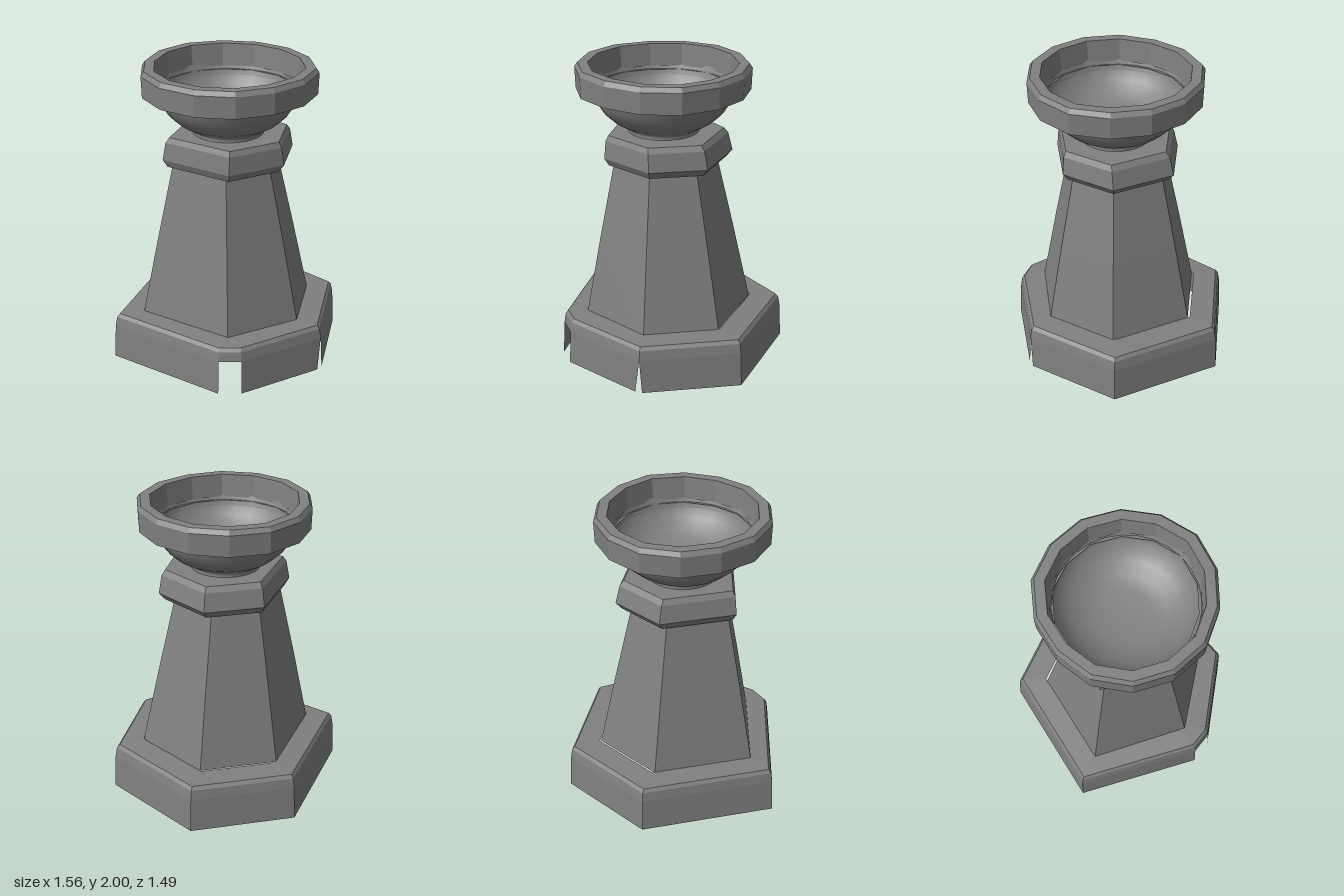
import * as THREE from 'three';

// Irregular hexagonal plan with a blunted front corner, as [x, z] going from +x to +z
const PLAN = [[0.78, -0.17], [0.6, 0.48], [0.04, 0.75], [-0.11, 0.74], [-0.78, 0.21], [-0.42, -0.62], [0.27, -0.74]];
// The same plan with a sharp front corner, used by the shaft and collar
const HEX = [[0.78, -0.17], [0.6, 0.48], [-0.05, 0.76], [-0.78, 0.21], [-0.42, -0.62], [0.27, -0.74]];

const ring = (plan, scale, y, dx = 0, dz = 0) =>
  plan.map(([x, z]) => new THREE.Vector3(x * scale + dx, y, z * scale + dz));

// Flat-shaded geometry from quads [bottomA, bottomB, topB, topA], facing outward
function quads(list) {
  const pts = list.flatMap(([a, b, c, d]) => [a, d, c, a, c, b]);
  const geo = new THREE.BufferGeometry().setFromPoints(pts);
  geo.computeVertexNormals();
  return geo;
}

// Faces joining a stack of equal-length rings
function loft(rings) {
  const list = [];
  for (let k = 0; k + 1 < rings.length; k++) {
    const lo = rings[k], hi = rings[k + 1], n = lo.length;
    for (let i = 0; i < n; i++) {
      const j = (i + 1) % n;
      list.push([lo[i], lo[j], hi[j], hi[i]]);
    }
  }
  return quads(list);
}

const lathe = (profile, sides) =>
  new THREE.LatheGeometry(profile.map(([r, y]) => new THREE.Vector2(r, y)), sides);

export function createModel() {
  const stone = new THREE.MeshStandardMaterial({ color: 0x808080, side: THREE.DoubleSide });
  stone.name = 'greyStone';
  const model = new THREE.Group();
  model.name = 'pedestalBowl';
  const add = (name, geometry) => {
    const mesh = new THREE.Mesh(geometry, stone);
    mesh.name = name;
    model.add(mesh);
    return mesh;
  };

  // Plinth: upper band and sloping top, open underneath
  add('plinthTop', loft([
    ring(PLAN, 0.985, 0.23), ring(PLAN, 0.97, 0.295), ring(PLAN, 0.945, 0.318), ring(HEX7(), 0.72, 0.325),
  ]));

  // Plinth skirt: one panel per side, broken away at the front corner
  const low = ring(PLAN, 1, 0), high = ring(PLAN, 0.985, 0.23);
  const panels = [];
  PLAN.forEach((_, i) => {
    if (i === 2) return;
    const j = (i + 1) % PLAN.length;
    const startTrim = i === 1 ? 0.05 : 0, endTrim = i === 0 ? 0.03 : 0;
    panels.push([
      low[i].clone().lerp(low[j], startTrim), low[j].clone().lerp(low[i], endTrim), high[j], high[i],
    ]);
  });
  add('plinthSkirt', quads(panels));

  // Hollow tapering shaft
  add('shaft', loft([
    ring(HEX, 0.735, 0.32, 0, 0.025), ring(HEX, 0.595, 0.84, -0.005, 0.03), ring(HEX, 0.445, 1.37, -0.01, 0.035),
  ]));

  // Collar with a bevelled lower edge
  add('collar', loft([
    ring(HEX, 0.44, 1.355, 0, 0.03), ring(HEX, 0.51, 1.35, 0.005, 0.03), ring(HEX, 0.557, 1.4, 0.01, 0.025),
    ring(HEX, 0.53, 1.52, 0.01, 0.035), ring(HEX, 0.5, 1.555, 0.01, 0.04), ring(HEX, 0, 1.555, 0.01, 0.04),
  ]));

  // Bowl outside and inside
  const bowl = add('bowlOutside', lathe([
    [0.24, 1.54], [0.225, 1.57], [0.25, 1.59], [0.33, 1.635], [0.395, 1.695], [0.435, 1.76], [0.46, 1.84],
  ], 28));
  const inside = add('bowlInside', lathe([
    [0.475, 1.87], [0.45, 1.8], [0.41, 1.74], [0.35, 1.685], [0.27, 1.645], [0.17, 1.62], [0, 1.62],
  ], 28));

  // Roughly cut rim with uneven facets
  let rimGeo = lathe([
    [0.45, 1.83], [0.565, 1.83], [0.57, 1.97], [0.55, 2], [0.485, 2], [0.47, 1.85],
  ], 14);
  const p = rimGeo.attributes.position;
  for (let i = 0; i < p.count; i++) {
    const a = Math.atan2(p.getZ(i), p.getX(i));
    const s = 1 + 0.012 * Math.sin(3 * a + 1) + 0.008 * Math.sin(5 * a);
    p.setX(i, p.getX(i) * s);
    p.setZ(i, p.getZ(i) * s);
  }
  rimGeo = rimGeo.toNonIndexed();
  rimGeo.computeVertexNormals();
  const rim = add('rim', rimGeo);
  for (const part of [bowl, inside, rim]) part.position.set(0.007, 0, 0.04);

  return model;
}

// Sharp plan with the front corner doubled, to pair with the blunted plan
function HEX7() {
  return [...HEX.slice(0, 3), ...HEX.slice(2)];
}
